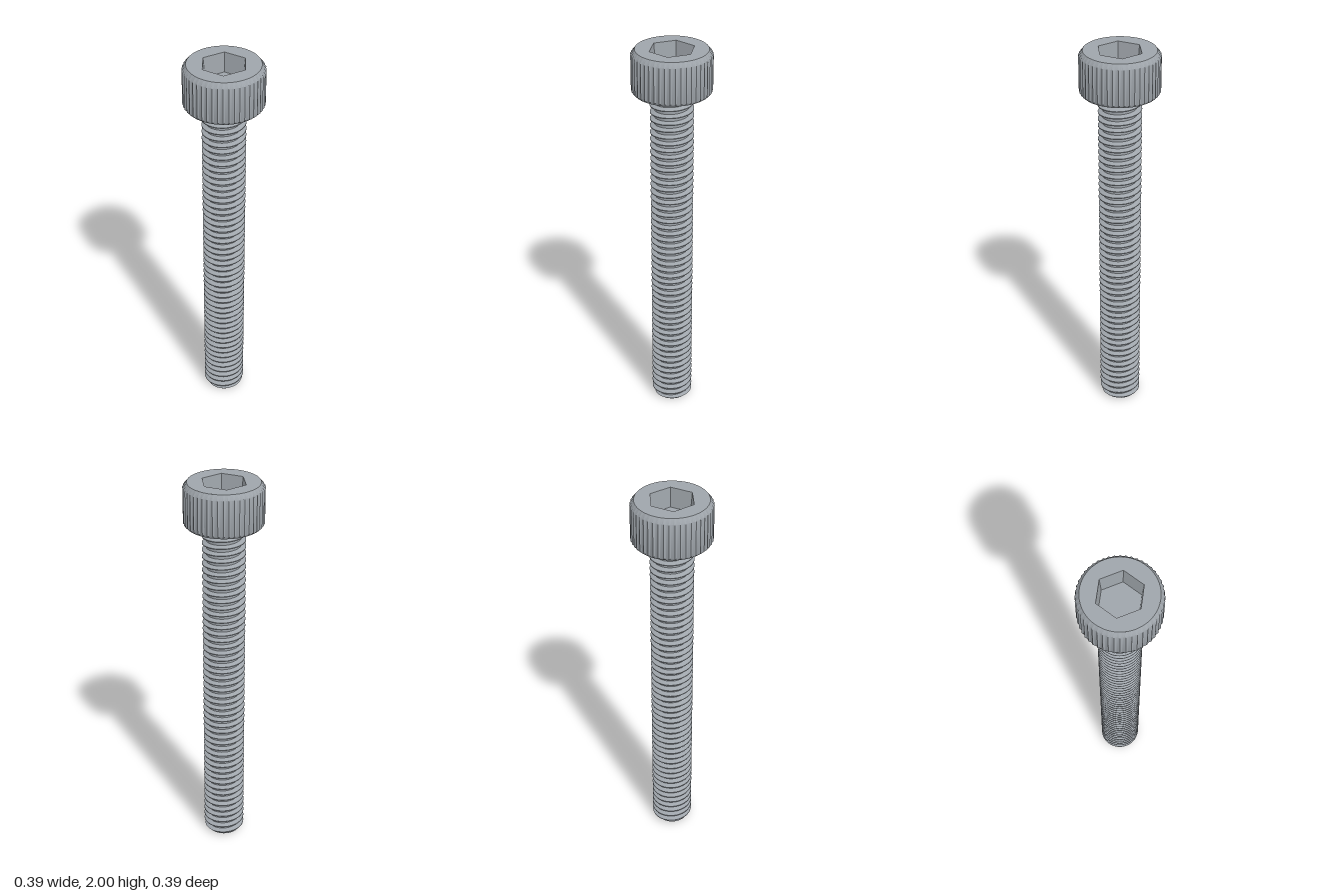
import * as THREE from 'three';
import { toCreasedNormals } from 'three/addons/utils/BufferGeometryUtils.js';

const HEAD_BASE = 1.786, TOP = 2, PITCH = 0.0357;
const MAJOR = 0.107, MINOR = 0.085, TIP = 0.087;

// Skin a grid of points: point(u, v) for u = 0..nu, v = 0..nv
function skin(nu, nv, point, crease) {
  const pos = [], idx = [];
  for (let u = 0; u <= nu; u++) for (let v = 0; v <= nv; v++) pos.push(...point(u, v));
  for (let u = 0; u < nu; u++) for (let v = 0; v < nv; v++) {
    const a = u * (nv + 1) + v, b = a + nv + 1;
    idx.push(a, b, b + 1, a, b + 1, a + 1);
  }
  const g = new THREE.BufferGeometry();
  g.setAttribute('position', new THREE.Float32BufferAttribute(pos, 3));
  g.setIndex(idx);
  return toCreasedNormals(g, crease);
}

const polar = (r, a, y) => [r * Math.cos(a), y, -r * Math.sin(a)];

export function createModel() {
  const model = new THREE.Group();
  const steel = new THREE.MeshStandardMaterial({ color: 0x9fa5ab });
  steel.name = 'steel grey';
  const add = (name, geometry) => {
    const m = new THREE.Mesh(geometry, steel);
    m.name = name;
    model.add(m);
    return m;
  };

  // Knurled head wall with underside and chamfers: [radius, y, flute depth]
  const wall = [
    [0.08, HEAD_BASE, 0], [0.184, HEAD_BASE, 0], [0.196, HEAD_BASE + 0.012, 0.005],
    [0.196, 1.976, 0.005], [0.176, TOP, 0],
  ];
  const flutes = 48, steps = flutes * 6;
  add('knurledHead', skin(steps, wall.length - 1, (u, v) => {
    const a = (u / steps) * Math.PI * 2, [r, y, d] = wall[v];
    return polar(r - d * Math.abs(Math.sin(a * flutes / 2)), a, y);
  }, 0.6));

  // Flat top with the hexagonal opening
  const face = new THREE.Shape().absarc(0, 0, 0.176, 0, Math.PI * 2);
  const hex = [];
  for (let i = 0; i < 6; i++) {
    const a = (i * Math.PI) / 3;
    hex.push(new THREE.Vector2(0.113 * Math.cos(a), 0.113 * Math.sin(a)));
  }
  face.holes.push(new THREE.Path(hex));
  const topFace = new THREE.ShapeGeometry(face, 96);
  topFace.rotateX(-Math.PI / 2).translate(0, TOP, 0);
  add('headTop', topFace);

  // Hex socket: slightly tapered walls and a flat floor
  const socket = [[0.113, TOP], [0.104, 1.9], [0, 1.9]];
  add('hexSocket', skin(6, 2, (u, v) =>
    polar(socket[v][0], (u * Math.PI) / 3, socket[v][1]), 0.3));

  // Threaded shank: one pitch of profile swept up a right-handed helix
  const profile = [[MINOR, 0], [MINOR, 0.18], [MAJOR, 0.44], [MAJOR, 0.56], [MINOR, 0.82], [MINOR, 1]];
  const seg = 48, turns = 52;
  add('thread', skin(seg * turns, profile.length - 1, (u, v) => {
    const [r, t] = profile[v];
    const y = THREE.MathUtils.clamp((u / seg - 1 + t) * PITCH, 0, HEAD_BASE + 0.004);
    return polar(Math.min(r, TIP + y * 0.9), (u / seg) * Math.PI * 2, y);
  }, 0.5));

  // Flat end of the shank
  const tip = new THREE.CircleGeometry(TIP, seg);
  tip.rotateX(Math.PI / 2);
  add('shankTip', tip);

  return model;
}
